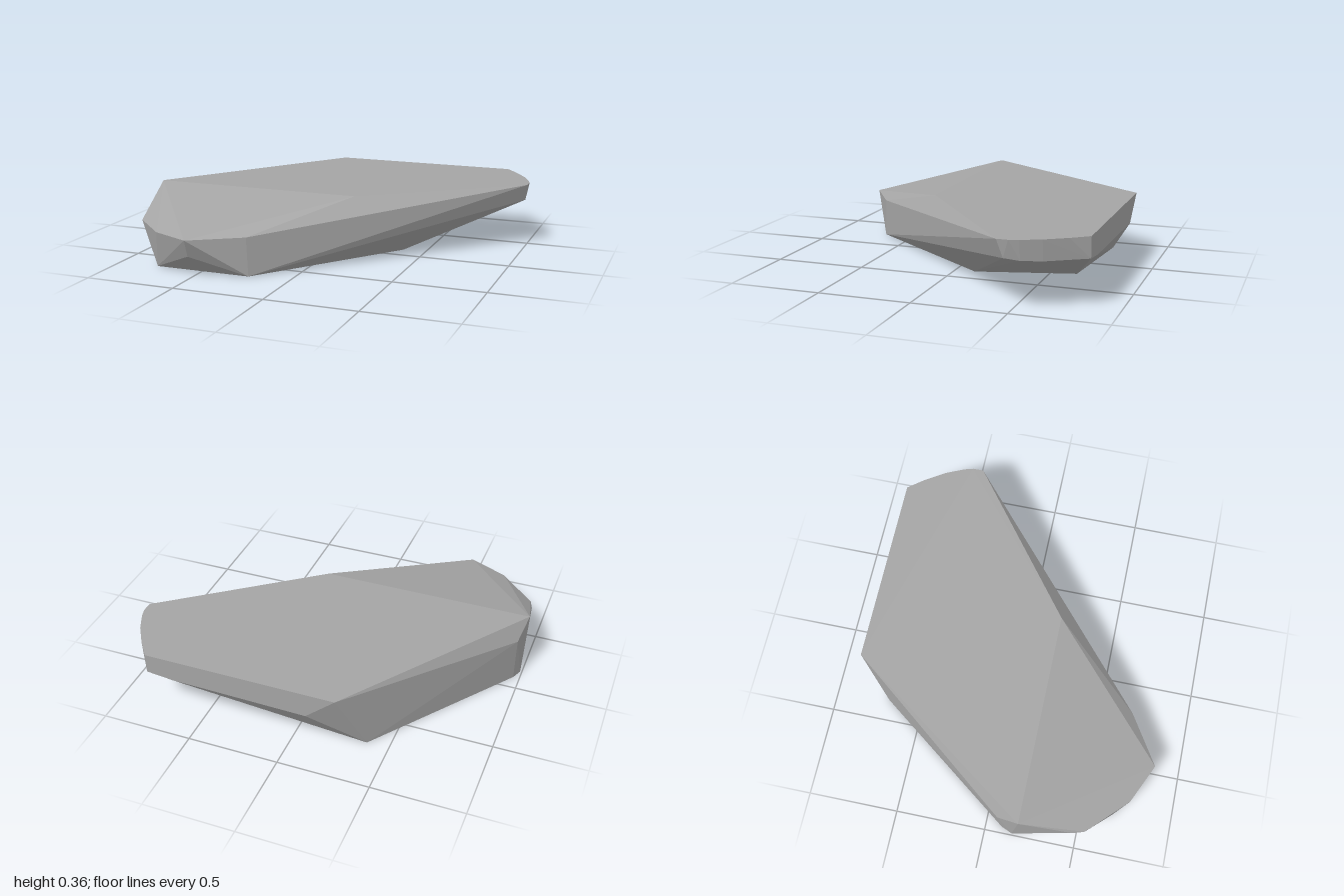
import * as THREE from 'three';
import { ConvexGeometry } from 'three/addons/geometries/ConvexGeometry.js';

// Corners of the faceted slab, grouped by the part of the rock they outline: [x, y, z]
const topRim = [
  [-0.26, -0.85], [0.8, -0.85], [0.87, -0.76], [0.94, -0.65],
  [0.985, -0.55], [1, -0.5], [1, -0.44], [0.18, 0.19], [-1, 0.19],
].map(([x, z]) => [x, 0.36, z]);

const frontLip = [
  [-0.24, 0.68], [-0.51, 0.85], [-0.73, 0.75], [-0.94, 0.54], [-0.96, 0.48],
].map(([x, z]) => [x, 0.21, z]);

const base = [
  [-0.23, 0.68], [-0.77, 0.68], [-0.99, 0.15], [-0.965, 0.09],
  [-0.38, -0.7], [0.23, -0.64], [0.37, -0.11],
].map(([x, z]) => [x, 0, z]);

// Lower edge of the overhanging tip and the back face
const overhang = [
  [0.985, 0.265, -0.47], [0.97, 0.255, -0.55], [0.925, 0.25, -0.65],
  [0.86, 0.25, -0.75], [0.8, 0.25, -0.85], [0.66, 0.235, -0.85],
  [-0.1, 0.22, -0.85], [-0.17, 0.23, -0.83],
];

// Chips between the base and the upper edges
const chips = [[-0.52, 0.11, 0.8], [-0.91, 0.11, 0.46], [-0.97, 0.265, 0.07]];

export function createModel() {
  const group = new THREE.Group();
  group.name = 'rockSlab';

  const stone = new THREE.MeshStandardMaterial({ color: 0xa4a4a4 });
  stone.name = 'stone grey';

  const corners = [...topRim, ...frontLip, ...base, ...overhang, ...chips]
    .map((p) => new THREE.Vector3(...p));
  const slab = new THREE.Mesh(new ConvexGeometry(corners), stone);
  slab.name = 'slab';
  group.add(slab);
  return group;
}
